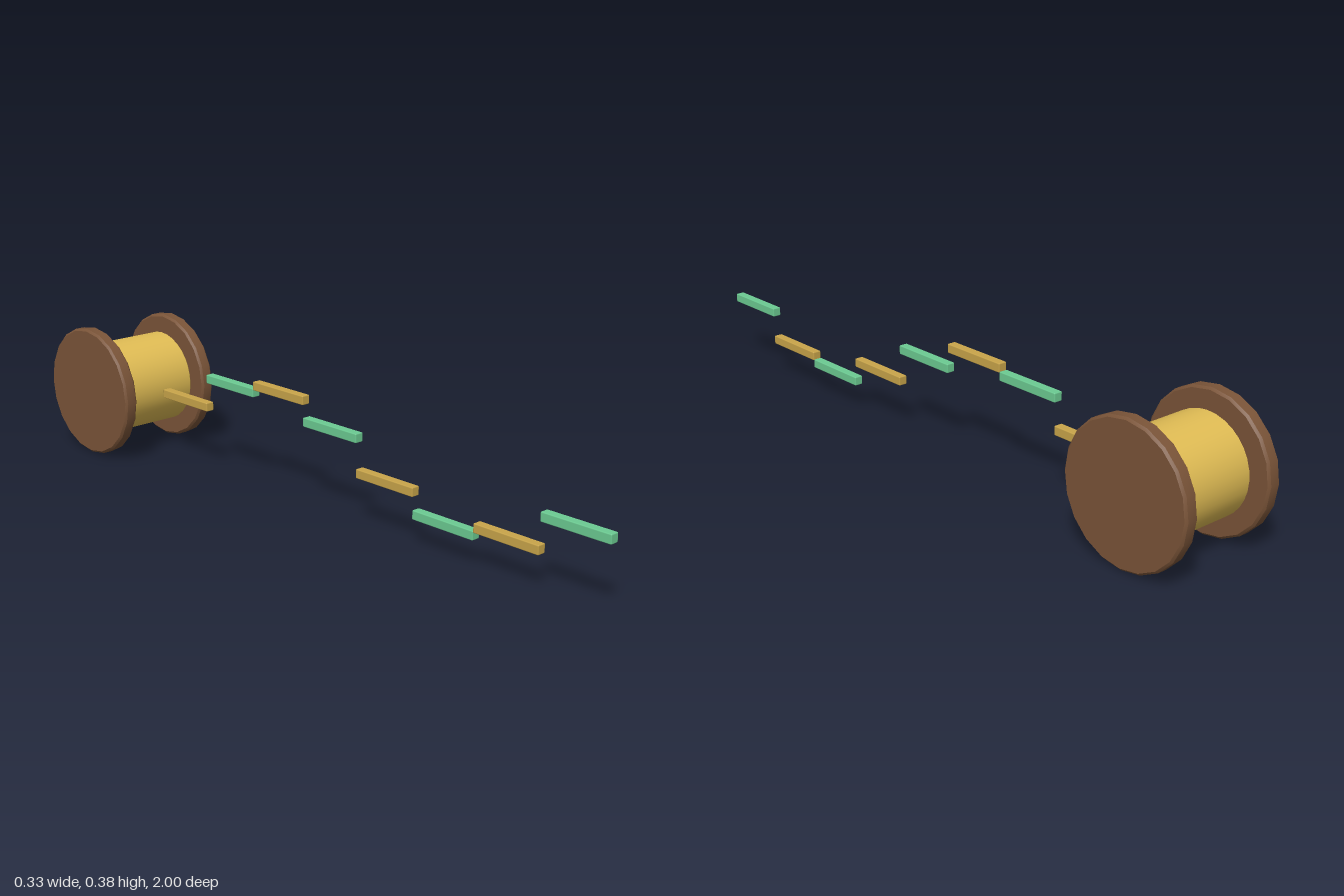
import * as THREE from 'three';
import { toCreasedNormals } from 'three/addons/utils/BufferGeometryUtils.js';
import { RoundedBoxGeometry } from 'three/addons/geometries/RoundedBoxGeometry.js';

const material = (name, color) => {
  const m = new THREE.MeshStandardMaterial({ color });
  m.name = name;
  return m;
};

// Solid disc with bevelled rims, its axis along x
function bevelledDrum(radius, width, bevel, sides) {
  const h = width / 2;
  const profile = [
    [0, -h], [radius - bevel, -h], [radius, -h + bevel],
    [radius, h - bevel], [radius - bevel, h], [0, h],
  ].map(([r, y]) => new THREE.Vector2(r, y));
  const geometry = new THREE.LatheGeometry(profile, sides);
  geometry.rotateZ(Math.PI / 2);
  return toCreasedNormals(geometry, 0.5);
}

export function createModel() {
  const wood = material('brown wood', 0x7a5438);
  const thread = material('yellow thread', 0xe0bc54);
  const gold = material('gold', 0xc9a54a);
  const green = material('green', 0x6ccb92);

  const model = new THREE.Group();
  model.name = 'spoolWithTrail';
  const axisY = 0.192;

  const add = (parent, name, geometry, mat, x, y, z) => {
    const mesh = new THREE.Mesh(geometry, mat);
    mesh.name = name;
    mesh.position.set(x, y, z);
    parent.add(mesh);
  };

  // Spool: wound core between two flanges
  const spool = new THREE.Group();
  spool.name = 'spool';
  spool.position.set(0, axisY, -0.809);
  model.add(spool);
  add(spool, 'threadCore', bevelledDrum(0.136, 0.248, 0.006, 32), thread, 0, 0, 0);
  const flange = bevelledDrum(0.191, 0.04, 0.006, 20);
  add(spool, 'leftFlange', flange, wood, 0.143, 0, 0);
  add(spool, 'rightFlange', flange, wood, -0.143, 0, 0);

  // Trail: alternating bars stepping along one sine wave
  const trail = new THREE.Group();
  trail.name = 'trail';
  model.add(trail);
  const count = 8, pitch = 0.2047;
  const bar = new RoundedBoxGeometry(0.026, 0.026, 0.2045, 1, 0.003);
  for (let i = 0; i < count; i++) {
    const y = axisY + 0.11 * Math.sin((i / (count - 1)) * Math.PI * 2);
    const z = 1 - pitch * (count - i - 0.5);
    add(trail, `trailBar${i + 1}`, bar, i % 2 ? green : gold, 0, y, z);
  }
  return model;
}
